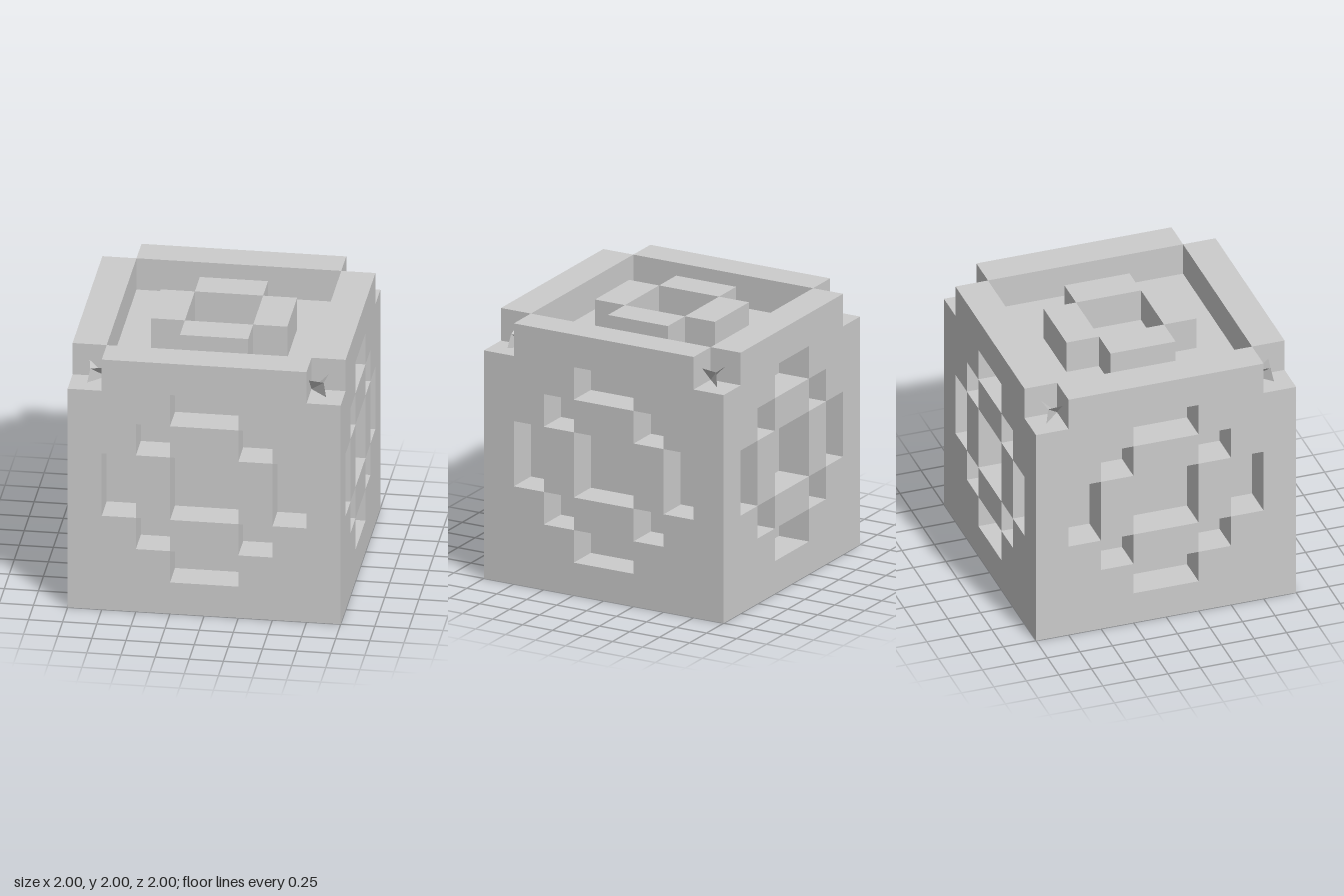
import * as THREE from 'three';

const U = 0.25; // thickness of every wall and step

const material = new THREE.MeshStandardMaterial({ color: 0xcccccc, flatShading: true });
const thinMaterial = new THREE.MeshStandardMaterial({
  color: 0xcccccc, flatShading: true, side: THREE.DoubleSide,
});

function mesh(name, geometry, mat = material) {
  const m = new THREE.Mesh(geometry, mat);
  m.name = name;
  return m;
}

const toPoints = (list) => list.map(([x, y]) => new THREE.Vector2(x, y));

// Stepped cross outline, one quarter turned four times about the origin
function steppedCross() {
  const quarter = [[3, -1], [3, 1], [2, 1], [2, 2], [1, 2]];
  const points = [];
  for (let i = 0; i < 4; i++) {
    for (let [x, y] of quarter) {
      for (let k = 0; k < i; k++) [x, y] = [-y, x];
      points.push([x * U, y * U]);
    }
  }
  return points;
}

// Four blocks around a square opening, in the XY plane, outer face at z = 1
function blockRing() {
  const ring = new THREE.Group();
  ring.name = 'blockRing';
  for (let i = 0; i < 4; i++) {
    const a = (i * Math.PI) / 2;
    const block = mesh('ringBlock', new THREE.BoxGeometry(2 * U, U, U));
    block.position.set(-Math.sin(a) * 1.5 * U, Math.cos(a) * 1.5 * U, 1 - U / 2);
    block.rotation.z = a;
    ring.add(block);
  }
  return ring;
}

// Wall panel with the cross cut out and a block ring inside the cut
function wall(name, outline) {
  const group = new THREE.Group();
  group.name = name;
  const shape = new THREE.Shape(toPoints(outline));
  const cut = steppedCross().map(([x, y]) => [x, y + 1]);
  shape.holes.push(new THREE.Path(toPoints(cut)));
  const panel = mesh('panel', new THREE.ExtrudeGeometry(shape, { depth: U, bevelEnabled: false }));
  panel.position.z = 1 - U;
  const ring = blockRing();
  ring.position.y = 1;
  group.add(panel, ring);
  return group;
}

// Three thin fins meeting along the diagonal of a corner notch
function cornerSpike(sx, sz) {
  const h = 0.125, d = 0.105;
  const tips = [[h, h, 0], [0, h, h], [h, 0, h]];
  const positions = tips.flatMap((tip) => [0, 0, 0, ...tip, d, d, d]);
  for (let i = 0; i < positions.length; i += 3) {
    positions[i] *= sx;
    positions[i + 2] *= sz;
  }
  const g = new THREE.BufferGeometry();
  g.setAttribute('position', new THREE.Float32BufferAttribute(positions, 3));
  g.computeVertexNormals();
  const spike = mesh('cornerSpike', g, thinMaterial);
  spike.position.set(sx * 0.75, 1.75, sz * 0.75);
  return spike;
}

export function createModel() {
  const model = new THREE.Group();
  model.name = 'steppedCube';

  // Solid core, whose faces are the floors of all recesses
  const core = mesh('core', new THREE.BoxGeometry(1.5, 1.75, 1.5));
  core.position.y = 0.875;
  model.add(core);

  // Full-width walls carry the corner notches; the other two fit between them
  const notched = [[-1, 0], [1, 0], [1, 1.75], [0.75, 1.75], [0.75, 2], [-0.75, 2], [-0.75, 1.75], [-1, 1.75]];
  const plain = [[-0.75, 0], [0.75, 0], [0.75, 2], [-0.75, 2]];
  ['frontWall', 'leftWall', 'backWall', 'rightWall'].forEach((name, i) => {
    const w = wall(name, i % 2 ? plain : notched);
    w.rotation.y = (i * Math.PI) / 2;
    model.add(w);
  });

  // Block ring standing in the top recess
  const topRing = blockRing();
  topRing.name = 'topRing';
  topRing.rotation.x = -Math.PI / 2;
  topRing.position.y = 1;
  model.add(topRing);

  // Spikes in the four top notches
  for (const sx of [-1, 1]) for (const sz of [-1, 1]) model.add(cornerSpike(sx, sz));

  return model;
}
